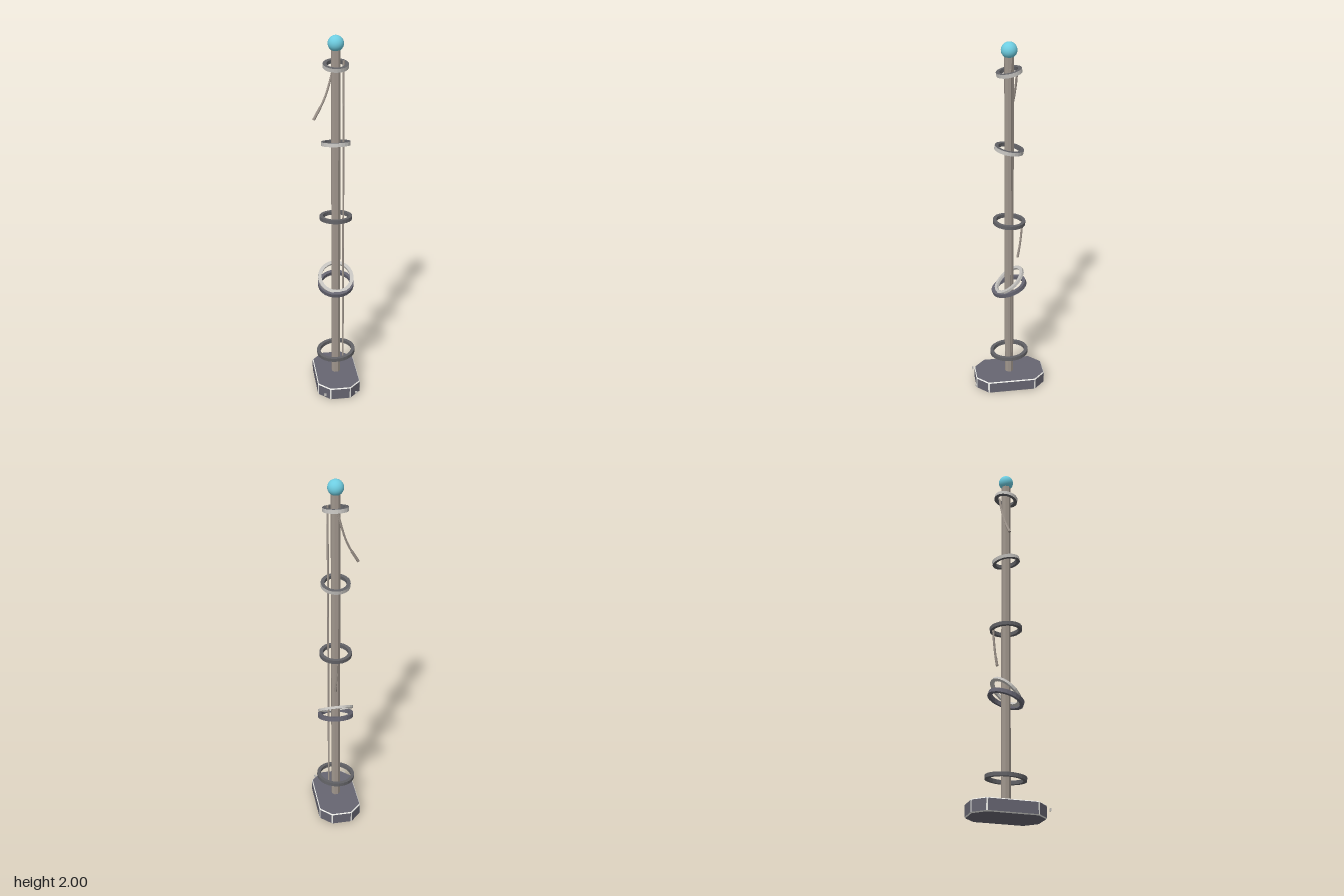
import * as THREE from 'three';

const mat = (name, color, extra = {}) =>
  Object.assign(new THREE.MeshStandardMaterial({ color, flatShading: true, ...extra }), { name });

export function createModel() {
  const model = new THREE.Group();
  model.name = 'ringedPole';
  const darkMetal = mat('darkMetal', 0x666571);
  const ringMetal = mat('ringMetal', 0x626266);
  const paleMetal = mat('paleMetal', 0xc4c2be);
  const edgeMetal = mat('wornEdge', 0xeaeae6);
  const poleMetal = mat('poleMetal', 0xa0968d);
  const blue = mat('blueGlow', 0x6ecde1, { flatShading: false });
  const CZ = -0.005;

  const add = (name, geometry, material, x = 0, y = 0, z = 0) => {
    const mesh = new THREE.Mesh(geometry, material);
    mesh.name = name;
    mesh.position.set(x, y, z);
    model.add(mesh);
    return mesh;
  };

  // Base: octagonal slab whose narrow chamfers form a second face group
  const W = 0.114, D = 0.191, cut = 0.06, c = 0.004, s = c * Math.SQRT1_2;
  const quarter = [[W, D - cut - c], [W - s, D - cut + s], [W - cut + s, D - s], [W - cut - c, D]];
  const pts = [
    ...quarter,
    ...quarter.map(([x, z]) => [-x, z]).reverse(),
    ...quarter.map(([x, z]) => [-x, -z]),
    ...quarter.map(([x, z]) => [x, -z]).reverse(),
  ].map(([x, z]) => new THREE.Vector2(x, z));
  const base = new THREE.ExtrudeGeometry(new THREE.Shape(pts), {
    depth: 0.06, bevelEnabled: true, bevelThickness: 0.005, bevelSize: 0.005, bevelSegments: 1,
  });
  base.rotateX(-Math.PI / 2);
  base.computeVertexNormals();
  base.clearGroups();
  const n = base.attributes.normal;
  for (let i = 0; i < n.count; i += 3) {
    const y = Math.abs(n.getY(i));
    const turn = Math.atan2(n.getZ(i), n.getX(i)) / (Math.PI / 4);
    const flat = y > 0.9 || (y < 0.1 && Math.abs(turn - Math.round(turn)) < 0.2);
    base.addGroup(i, 3, flat ? 0 : 1);
  }
  add('base', base, [darkMetal, edgeMetal], 0, 0.005, CZ);

  // Small studs at the front corners
  for (const side of [-1, 1])
    add('frontStud', new THREE.BoxGeometry(0.012, 0.014, 0.007), paleMetal, side * 0.087, 0.04, 0.196);

  // Pole and top ball
  add('pole', new THREE.CylinderGeometry(0.025, 0.025, 1.87, 8).rotateY(Math.PI / 8), poleMetal, 0, 1.0, CZ);
  add('topBall', new THREE.SphereGeometry(0.041, 32, 20), blue, 0, 1.959, CZ);

  // Loose flat rings: height, outer radius, thickness, pitch, roll, materials of bottom, outside, top, inside
  const worn = [ringMetal, paleMetal, ringMetal, ringMetal];
  const bright = [paleMetal, paleMetal, paleMetal, paleMetal];
  const dull = [ringMetal, ringMetal, ringMetal, ringMetal];
  const dark = [darkMetal, darkMetal, darkMetal, darkMetal];
  const rings = [
    [1.848, 0.066, 0.02, 0.19, 0, worn],
    [1.439, 0.077, 0.02, -0.19, 0, worn],
    [1.025, 0.087, 0.02, -0.06, 0, dull],
    [0.626, 0.098, 0.022, 0.31, 0.03, dark],
    [0.665, 0.098, 0.014, 0.68, 0, bright],
    [0.203, 0.107, 0.02, 0.04, 0.07, dull],
  ];
  for (const [y, r, h, pitch, roll, materials] of rings) {
    const inner = r - 0.019, k = h / 2;
    const profile = [[inner, -k], [r, -k], [r, k], [inner, k], [inner, -k]].map(p => new THREE.Vector2(...p));
    const geometry = new THREE.LatheGeometry(profile, 24);
    for (let i = 0; i < 24 * 4; i++) geometry.addGroup(i * 6, 6, i % 4);
    add('looseRing', geometry, materials, 0, y, CZ).rotation.set(pitch, 0, roll);
  }

  // Straight side cable
  add('sideCable', new THREE.CylinderGeometry(0.0055, 0.0055, 1.715, 6), poleMetal, 0.04, 1.0125, CZ);

  // Dangling wires with thicker ends
  const wires = [
    [[-0.005, 1.84, -0.045], [-0.022, 1.77, -0.042], [-0.055, 1.67, -0.033], [-0.113, 1.564, -0.021]],
    [[0.005, 1.025, -0.075], [0.006, 0.96, -0.071], [0.008, 0.88, -0.062], [0.01, 0.81, -0.05]],
  ];
  for (const points of wires) {
    const curve = new THREE.CatmullRomCurve3(points.map(p => new THREE.Vector3(...p)));
    add('danglingWire', new THREE.TubeGeometry(curve, 14, 0.006, 6), poleMetal);
    const a = curve.getPoint(0.8), b = curve.getPoint(1);
    const dir = b.clone().sub(a);
    const mid = a.add(b).multiplyScalar(0.5);
    const tip = add('wireEnd', new THREE.CylinderGeometry(0.0075, 0.0075, dir.length(), 6), poleMetal, mid.x, mid.y, mid.z);
    tip.quaternion.setFromUnitVectors(new THREE.Vector3(0, 1, 0), dir.normalize());
  }
  return model;
}
